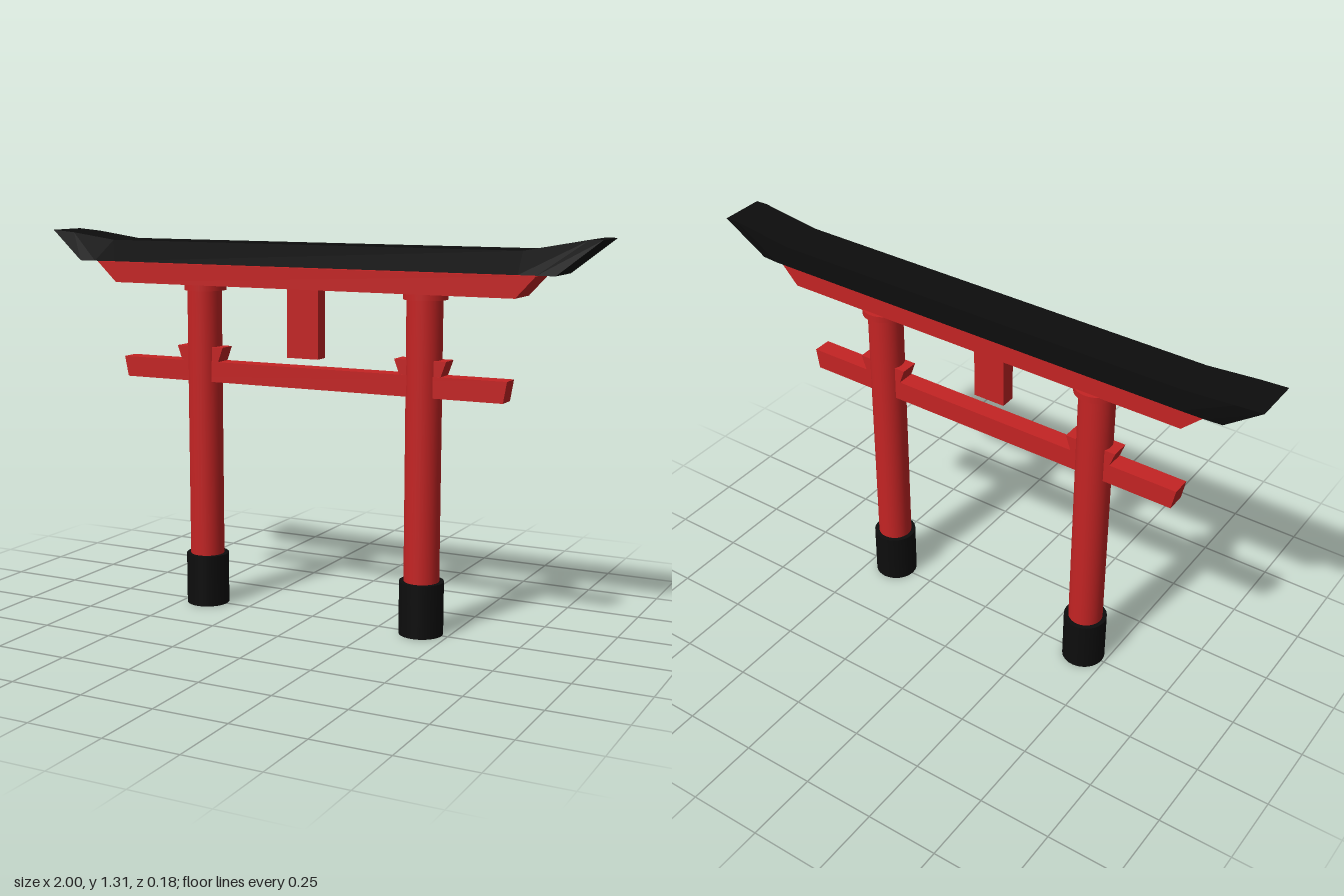
import * as THREE from 'three';

const red = new THREE.MeshStandardMaterial({ color: 0xc42424 });
const black = new THREE.MeshStandardMaterial({ color: 0x0d0d0d });

function add(parent, name, geometry, material, x = 0, y = 0, z = 0) {
  const mesh = new THREE.Mesh(geometry, material);
  mesh.name = name;
  mesh.position.set(x, y, z);
  parent.add(mesh);
  return mesh;
}

// Beam with a four-cornered front outline, running from zBack to zFront
function beam(points, zBack, zFront) {
  const shape = new THREE.Shape(points.map(([x, y]) => new THREE.Vector2(x, y)));
  const geometry = new THREE.ExtrudeGeometry(shape, { depth: zFront - zBack, bevelEnabled: false });
  return geometry.translate(0, 0, zBack);
}

// Flat-shaded skin over four-cornered cross-sections, capped at both ends
function loft(sections) {
  const positions = [];
  const quad = (a, b, c, d) => [a, b, c, a, c, d].forEach((p) => positions.push(...p));
  for (let i = 0; i < sections.length - 1; i++) {
    const s = sections[i], t = sections[i + 1];
    for (let k = 0; k < 4; k++) {
      const n = (k + 1) % 4;
      quad(s[k], t[k], t[n], s[n]);
    }
  }
  const a = sections[0], b = sections[sections.length - 1];
  quad(a[0], a[1], a[2], a[3]);
  quad(b[3], b[2], b[1], b[0]);
  const geometry = new THREE.BufferGeometry();
  geometry.setAttribute('position', new THREE.Float32BufferAttribute(positions, 3));
  geometry.computeVertexNormals();
  return geometry;
}

export function createModel() {
  const gate = new THREE.Group();
  gate.name = 'gate';

  // Pillars with black feet, top collars and wedges over the tie beam
  for (const [side, x] of [['right', -0.415], ['left', 0.405]]) {
    const pillar = new THREE.Group();
    pillar.name = side + 'Pillar';
    pillar.position.x = x;
    gate.add(pillar);
    add(pillar, 'foot', new THREE.CylinderGeometry(0.074, 0.074, 0.18, 32), black, 0, 0.09, 0.002);
    add(pillar, 'shaft', new THREE.CylinderGeometry(0.059, 0.059, 0.96, 32), red, 0, 0.65, 0.003);
    add(pillar, 'collar', new THREE.CylinderGeometry(0.072, 0.072, 0.022, 32), red, 0, 1.118, -0.003);
    add(pillar, 'wedge', beam([[-0.07, 0.86], [0.07, 0.86], [0.09, 0.915], [-0.09, 0.915]], -0.025, 0.038), red);
  }

  // Lower tie beam with slanted ends
  add(gate, 'tieBeam',
    beam([[-0.71, 0.795], [0.688, 0.795], [0.7, 0.865], [-0.724, 0.865]], -0.025, 0.04), red);

  // Upper lintel, flaring upwards
  add(gate, 'lintel',
    beam([[-0.735, 1.127], [0.73, 1.127], [0.795, 1.197], [-0.81, 1.197]], -0.06, 0.07), red);

  // Blank plaque hanging under the lintel
  add(gate, 'plaque', new THREE.BoxGeometry(0.115, 0.25, 0.053), red, -0.002, 1.025, 0.0425);

  // Roof beam: top x, y, front z, back z, then bottom x, front z, back z
  const rows = [
    [-1.0, 1.303, 0.065, -0.092, -0.87, 0.088, -0.07],
    [-0.91, 1.296, 0.068, -0.09, -0.81, 0.087, -0.074],
    [-0.735, 1.274, 0.078, -0.075, -0.735, 0.08, -0.075],
    [0.755, 1.274, 0.078, -0.075, 0.74, 0.08, -0.075],
    [0.96, 1.311, 0.068, -0.085, 0.8, 0.08, -0.075],
    [1.0, 1.311, 0.066, -0.087, 0.86, 0.08, -0.07],
  ];
  add(gate, 'roofBeam', loft(rows.map(([x, y, f, b, xb, fb, bb]) => [
    [x, y, b], [xb, 1.2, bb], [xb, 1.2, fb], [x, y, f],
  ])), black);

  return gate;
}
